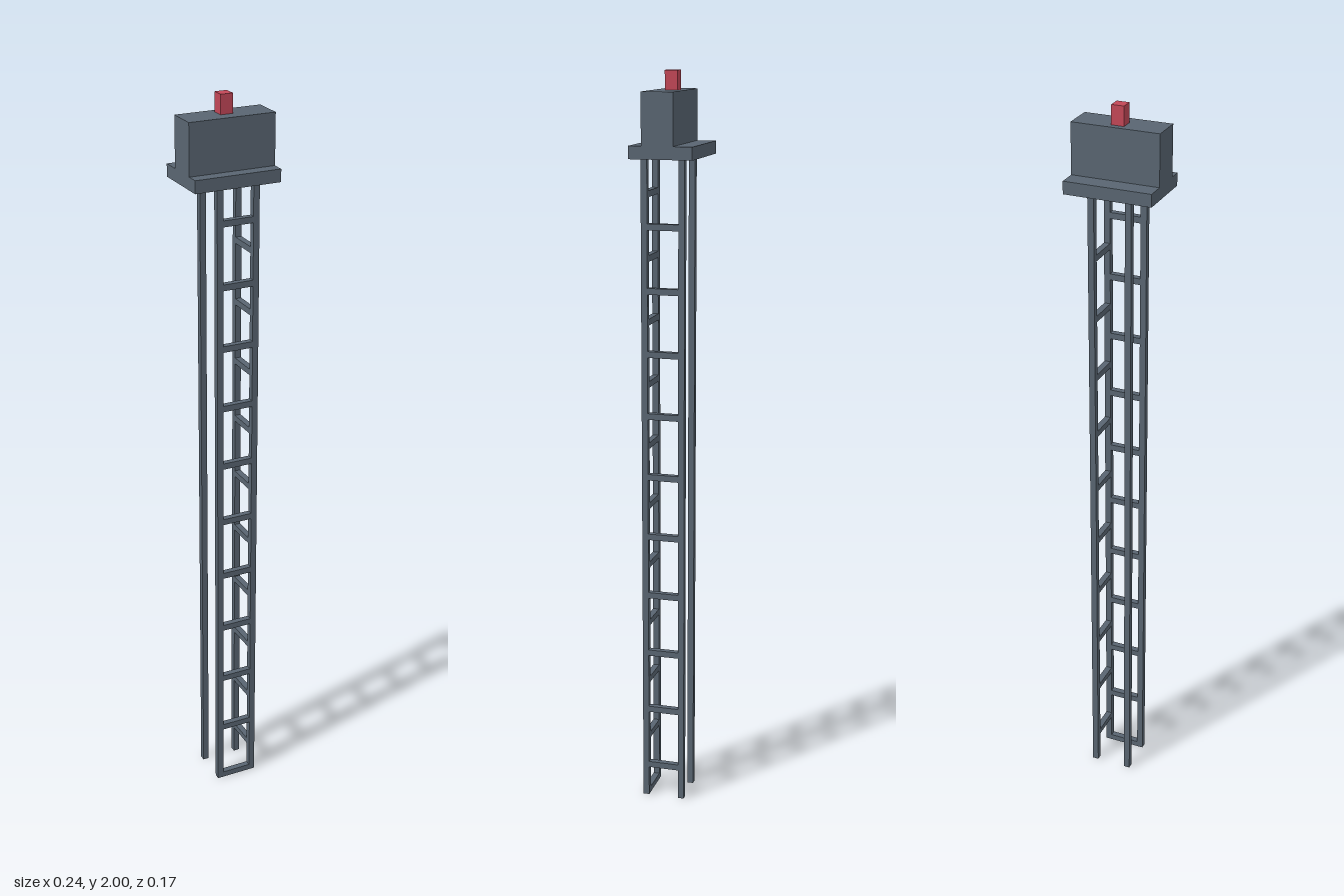
import * as THREE from 'three';

// The tower sits on a regular grid, 119 cells tall
const U = 2 / 119;

export function createModel() {
  const model = new THREE.Group();
  model.name = 'signalTower';

  const steel = new THREE.MeshStandardMaterial({ color: 0x596571 });
  steel.name = 'slate steel';
  const red = new THREE.MeshStandardMaterial({ color: 0xc24757 });
  red.name = 'beacon red';

  // Box between two grid corners
  function block(name, material, [x0, y0, z0], [x1, y1, z1], parent = model) {
    const geometry = new THREE.BoxGeometry((x1 - x0) * U, (y1 - y0) * U, (z1 - z0) * U);
    const mesh = new THREE.Mesh(geometry, material);
    mesh.position.set((x0 + x1) / 2 * U, (y0 + y1) / 2 * U, (z0 + z1) / 2 * U);
    mesh.name = name;
    parent.add(mesh);
  }

  // Four corner posts
  const posts = new THREE.Group();
  posts.name = 'posts';
  model.add(posts);
  for (const x of [-3, 3]) {
    for (const z of [-3, 3]) block('post', steel, [x, 0, z], [x + 1, 106, z + 1], posts);
  }

  // Rungs across the front, and staggered rungs along the +x side
  const rungs = new THREE.Group();
  rungs.name = 'rungs';
  model.add(rungs);
  for (let y = 0; y <= 100; y += 10) block('frontRung', steel, [-2, y, 3], [3, y + 1, 4], rungs);
  for (let y = 5; y <= 95; y += 10) block('sideRung', steel, [3, y, -2], [4, y + 1, 3], rungs);

  // Head: platform, housing and beacon
  block('platform', steel, [-7, 106, -5], [7, 108, 5]);
  block('housing', steel, [-7, 108, -2], [7, 116, 3]);
  block('beacon', red, [-1, 116, -1], [1, 119, 1]);

  return model;
}
